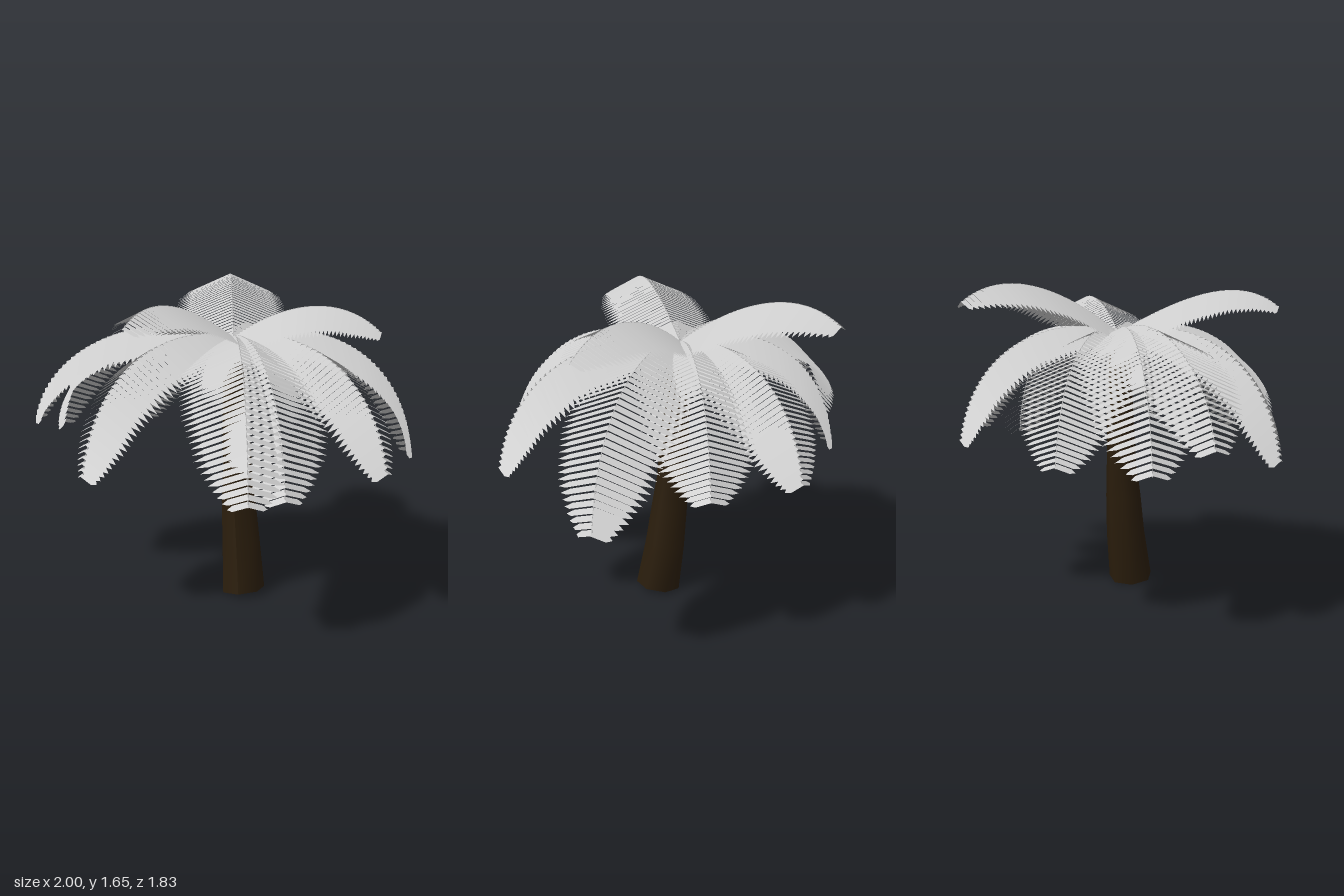
import * as THREE from 'three';

const leafGrey = new THREE.MeshStandardMaterial({ color: 0xcccccc, side: THREE.DoubleSide });
leafGrey.name = 'leafGrey';
const barkBrown = new THREE.MeshStandardMaterial({ color: 0x2a1d0c });
barkBrown.name = 'barkBrown';

const CROWN = new THREE.Vector3(0.06, 1.39, -0.07);
const UP = new THREE.Vector3(0, 1, 0);

// Trunk rings from base to top: [x, y, z, radius]
const RINGS = [
  [0.137, 0.025, 0.022, 0.118],
  [0.115, 0.28, -0.012, 0.106],
  [0.097, 0.5, -0.03, 0.096],
  [0.088, 0.66, -0.042, 0.083],
  [0.074, 1.0, -0.055, 0.072],
  [0.062, 1.38, -0.065, 0.058],
];

// Fronds: tip [x, y, z], heights and reach of the two curve handles, half width
const high = (x, y, z, h1, h2, halfWidth) => ({ x, y, z, h1, h2, reach: 0.75, halfWidth });
const low = (x, y, z, h1 = 1.5) => ({ x, y, z, h1, h2: 1.37, reach: 0.92, halfWidth: 0.285 });
const FRONDS = [
  high(-0.14, 1.57, -0.91, 1.64, 1.74, 0.29),
  high(0.82, 1.43, -0.12, 1.6, 1.62, 0.26),
  high(-0.3, 1.53, 0.68, 1.57, 1.71, 0.27),
  low(-0.99, 0.94, 0.07, 1.55),
  low(-0.955, 0.84, -0.21, 1.53),
  low(-0.58, 0.82, -0.56),
  low(0.09, 0.85, -0.9),
  low(0.54, 0.85, -0.74),
  low(0.98, 0.73, -0.43),
  low(0.9, 0.82, 0.35),
  low(0.33, 0.79, 0.89),
  low(0.48, 0.79, 0.78),
  low(-0.55, 0.78, 0.59),
];

// Leaflet length along the frond, as [position, fraction of half width]
const OUTLINE = [[0, 0.25], [0.13, 0.78], [0.35, 1], [0.6, 0.96], [0.8, 0.76], [0.92, 0.5], [1, 0.26]];

function outlineAt(t) {
  const i = Math.max(1, OUTLINE.findIndex((p) => p[0] >= t));
  const [t0, w0] = OUTLINE[i - 1];
  const [t1, w1] = OUTLINE[i];
  return THREE.MathUtils.lerp(w0, w1, (t - t0) / (t1 - t0));
}

function makeTrunk() {
  const n = RINGS.length - 1;
  const geo = new THREE.CylinderGeometry(1, 1, 1, 7, n);
  const pos = geo.attributes.position;
  for (let i = 0; i < pos.count; i++) {
    const k = Math.round((pos.getY(i) + 0.5) * n);
    const [x, y, z, r] = RINGS[k];
    const dx = pos.getX(i) * r;
    const dz = pos.getZ(i) * r;
    const tilt = 1 - k / n; // the cut at the base leans with the trunk
    pos.setXYZ(i, x + dx, y + tilt * (0.12 * dx + 0.08 * dz), z + dz);
  }
  geo.computeVertexNormals();
  const mesh = new THREE.Mesh(geo, barkBrown);
  mesh.name = 'trunk';
  return mesh;
}

// Pointed leaflets stepped like louvres down both sides of the rib
function makeLeaflets(curve, heading, halfWidth) {
  const count = 40;
  const width = (curve.getLength() / count) * 1.1;
  const side = new THREE.Vector3().crossVectors(UP, heading);
  const verts = [];
  for (let i = 0; i < count; i++) {
    const t = (i + 0.5) / count;
    const root = curve.getPointAt(t);
    const tangent = curve.getTangentAt(t);
    // nearer level on the falling part, along the rib on the rising part
    const follow = tangent.y > 0 ? 0.6 : 0.38;
    const chord = heading.clone().lerp(tangent, follow).normalize().multiplyScalar(width / 2);
    const inward = new THREE.Vector3().crossVectors(side, tangent);
    if (inward.y > 0) inward.negate();
    const droop = inward.lerp(new THREE.Vector3(0, -1, 0), 0.55).normalize();
    const length = halfWidth * outlineAt(t);
    for (const s of [1, -1]) {
      const reach = side.clone().multiplyScalar(s * length).addScaledVector(droop, 0.44 * length);
      const at = (along, out) => root.clone().addScaledVector(chord, along).addScaledVector(reach, out);
      const a = at(-1, 0), b = at(1, 0), c = at(1, 0.82), d = at(-1, 0.82), tip = at(0, 1.07);
      const tris = [[a, b, c], [a, c, d], [d, c, tip]];
      for (const [p, q, r] of tris) {
        for (const v of s > 0 ? [p, q, r] : [p, r, q]) verts.push(v.x, v.y, v.z);
      }
    }
  }
  const geo = new THREE.BufferGeometry();
  geo.setAttribute('position', new THREE.Float32BufferAttribute(verts, 3));
  geo.computeVertexNormals();
  const mesh = new THREE.Mesh(geo, leafGrey);
  mesh.name = 'leaflets';
  return mesh;
}

function makeFrond({ x, y, z, h1, h2, reach, halfWidth }) {
  const tip = new THREE.Vector3(x, y, z);
  const p1 = CROWN.clone().lerp(tip, 0.38).setY(h1);
  const p2 = CROWN.clone().lerp(tip, reach).setY(h2);
  const curve = new THREE.CubicBezierCurve3(CROWN, p1, p2, tip);
  const heading = tip.clone().sub(CROWN).setY(0).normalize();

  const rib = new THREE.Mesh(new THREE.TubeGeometry(curve, 20, 0.0025, 3), leafGrey);
  rib.name = 'rib';
  const frond = new THREE.Group();
  frond.name = 'frond';
  frond.add(rib, makeLeaflets(curve, heading, halfWidth));
  return frond;
}

export function createModel() {
  const model = new THREE.Group();
  model.name = 'palmTree';
  model.add(makeTrunk());
  const crown = new THREE.Group();
  crown.name = 'crown';
  for (const f of FRONDS) crown.add(makeFrond(f));
  model.add(crown);
  return model;
}
